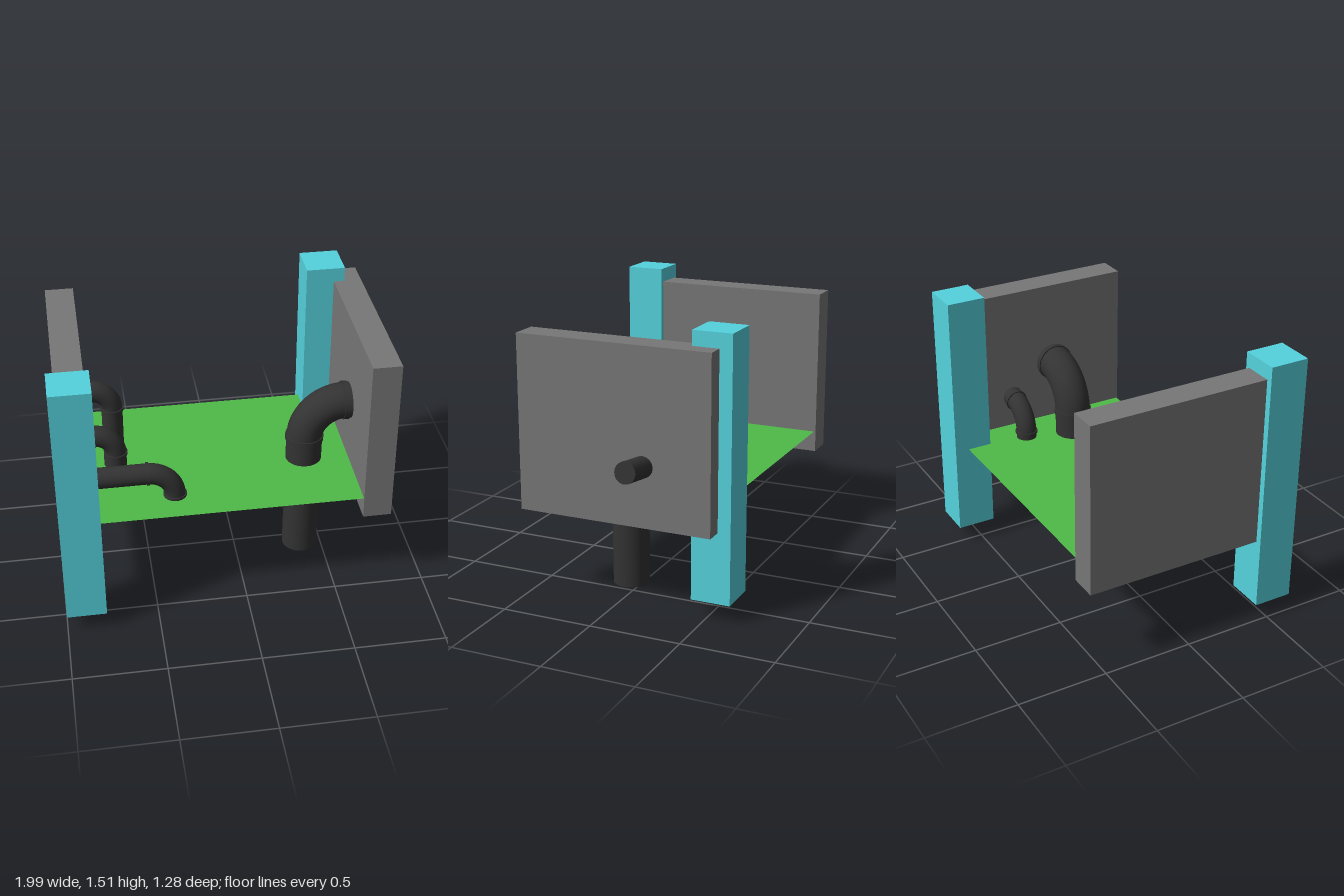
import * as THREE from 'three';

const material = (color) => new THREE.MeshStandardMaterial({ color });

export function createModel() {
  const model = new THREE.Group();
  const cyan = material(0x55d3de);
  const grey = material(0x777777);
  const dark = material(0x333333);
  const green = material(0x4fbb49);
  green.side = THREE.DoubleSide;

  const add = (parent, name, geometry, mat) => {
    const mesh = new THREE.Mesh(geometry, mat);
    mesh.name = name;
    parent.add(mesh);
    return mesh;
  };

  // Box given by its lower and upper corners
  const box = (name, mat, lo, hi) => {
    const size = hi.map((v, i) => v - lo[i]);
    add(model, name, new THREE.BoxGeometry(...size), mat)
      .position.set(...lo.map((v, i) => v + size[i] / 2));
  };

  // Elbow pipe in a plane of constant z: wall end -> corner -> lower end
  const pipe = (name, z, radius, bend, points, collarLength) => {
    const group = new THREE.Group();
    group.name = name;
    model.add(group);
    const [start, corner, end] = points.map(([x, y]) => new THREE.Vector3(x, y, z));
    const toStart = start.clone().sub(corner).normalize();
    const toEnd = end.clone().sub(corner).normalize();
    const along = (dir, d) => corner.clone().addScaledVector(dir, d);
    const a = along(toStart, bend), b = along(toEnd, bend);
    const path = new THREE.CurvePath();
    path.add(new THREE.LineCurve3(start, a));
    path.add(new THREE.CubicBezierCurve3(a, along(toStart, bend * 0.45), along(toEnd, bend * 0.45), b));
    path.add(new THREE.LineCurve3(b, end));
    add(group, 'pipeBody', new THREE.TubeGeometry(path, 72, radius, 32), dark);

    // Closed ends
    [[start, toStart], [end, toEnd]].forEach(([p, dir]) => {
      const cap = add(group, 'endCap', new THREE.CircleGeometry(radius, 32), dark);
      cap.position.copy(p);
      cap.quaternion.setFromUnitVectors(new THREE.Vector3(0, 0, 1), dir);
    });

    // Collars where the bend meets the straight runs
    [[a, toStart], [b, toEnd]].forEach(([p, dir]) => {
      const r = radius + 0.006;
      const collar = add(group, 'collar', new THREE.CylinderGeometry(r, r, collarLength, 32), dark);
      collar.position.copy(p);
      collar.quaternion.setFromUnitVectors(new THREE.Vector3(0, 1, 0), dir);
    });
  };

  // Corner posts, diagonal to each other
  box('frontRightPost', cyan, [-1, 0.1, 0.425], [-0.785, 1.51, 0.64]);
  box('backLeftPost', cyan, [0.48, 0.1, -0.64], [0.695, 1.51, -0.425]);

  // Side walls
  box('rightWall', grey, [-0.965, 0.485, -0.57], [-0.81, 1.43, 0.505]);
  box('leftWall', grey, [0.635, 0.485, -0.57], [0.79, 1.43, 0.505]);

  // Thin floor sheet between the walls
  const floor = add(model, 'floor', new THREE.PlaneGeometry(1.45, 1.06), green);
  floor.rotation.x = -Math.PI / 2;
  floor.position.set(-0.085, 0.605, -0.03);

  // Pipes
  pipe('largePipe', 0.065, 0.1, 0.215, [[0.7, 0.96], [0.392, 0.96], [0.38, 0]], 0.03);
  pipe('throughWallPipe', -0.2, 0.057, 0.125, [[0.985, 0.838], [0.464, 0.765], [0.464, 0.6]], 0.015);
  pipe('upperPipe', -0.03, 0.057, 0.115, [[-0.86, 1.09], [-0.66, 1.09], [-0.664, 0.55]], 0.015);
  pipe('middlePipe', 0.125, 0.057, 0.115, [[-0.86, 0.905], [-0.66, 0.905], [-0.664, 0.357]], 0.015);
  pipe('lowerPipe', 0.305, 0.057, 0.145, [[-0.86, 0.757], [-0.364, 0.757], [-0.364, 0.59]], 0.015);

  return model;
}
